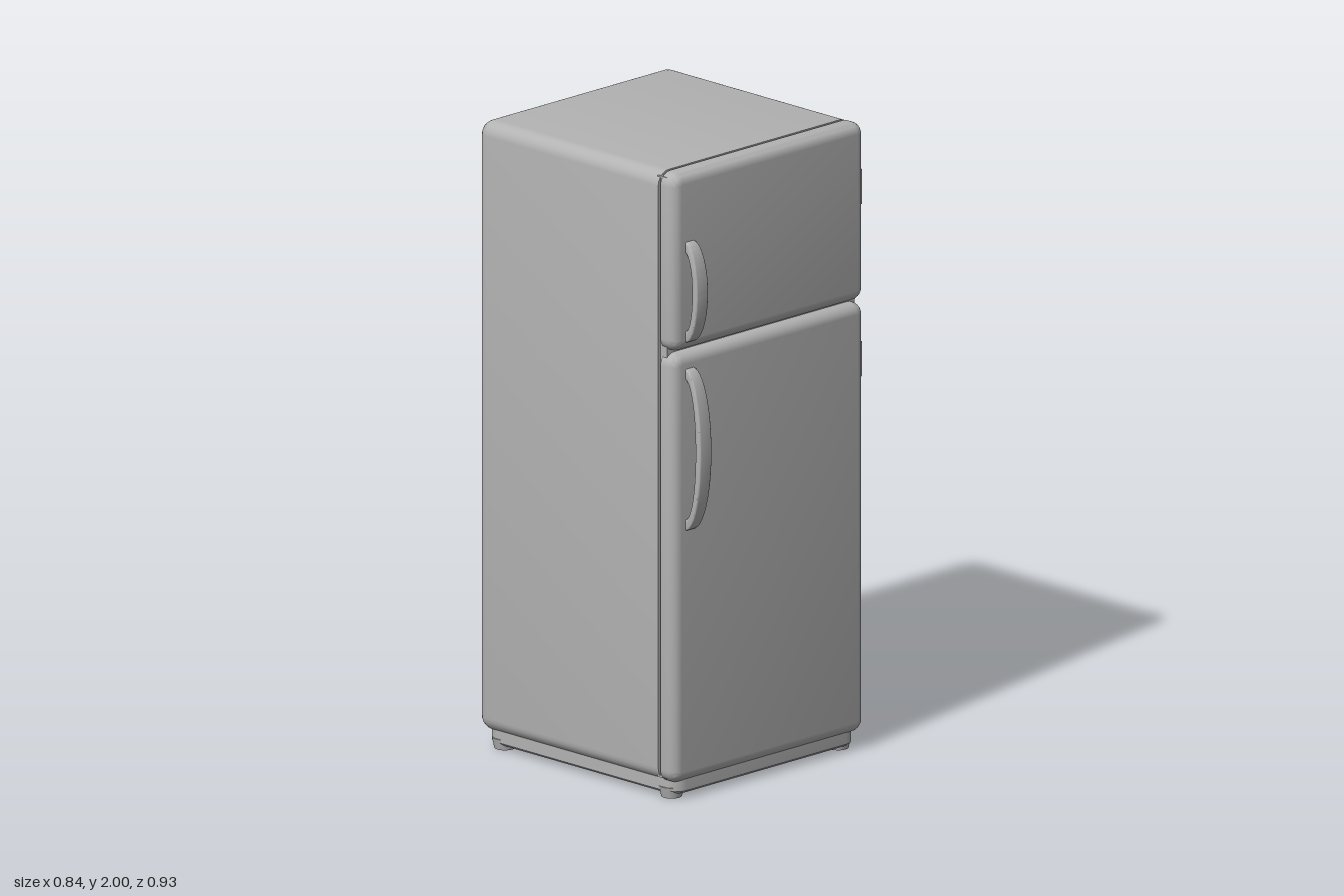
import * as THREE from 'three';
import { toCreasedNormals } from 'three/addons/utils/BufferGeometryUtils.js';

const CX = -0.005; // middle of the cabinet in x
const enamel = new THREE.MeshStandardMaterial({ color: 0xb3b3b3 });
enamel.name = 'greyEnamel';

// Corner points of a rounded rectangle, counter-clockwise
function roundedRect(hw, hh, r, steps = 6) {
  const pts = [];
  for (let c = 0; c < 4; c++) {
    const sx = c === 0 || c === 3 ? 1 : -1, sy = c < 2 ? 1 : -1;
    for (let k = 0; k <= steps; k++) {
      const a = (c + k / steps) * Math.PI / 2;
      pts.push([sx * (hw - r) + r * Math.cos(a), sy * (hh - r) + r * Math.sin(a)]);
    }
  }
  return pts;
}

// Loft rounded rectangles along z; profile = [[z, inset], ...]
function loft(hw, hh, r, profile, capStart, capEnd) {
  const pos = [], idx = [];
  let n = 0;
  for (const [z, inset] of profile) {
    const ring = roundedRect(hw - inset, hh - inset, Math.max(r - inset, 0.004));
    n = ring.length;
    ring.forEach(([x, y]) => pos.push(x, y, z));
  }
  for (let i = 0; i < profile.length - 1; i++) {
    for (let j = 0; j < n; j++) {
      const a = i * n + j, b = i * n + (j + 1) % n;
      idx.push(a, a + n, b, b, a + n, b + n);
    }
  }
  const cap = (row, flip) => {
    const centre = pos.length / 3;
    pos.push(0, 0, profile[row][0]);
    for (let j = 0; j < n; j++) {
      const a = row * n + j, b = row * n + (j + 1) % n;
      idx.push(centre, flip ? b : a, flip ? a : b);
    }
  };
  if (capStart) cap(0, false);
  if (capEnd) cap(profile.length - 1, true);
  const g = new THREE.BufferGeometry();
  g.setAttribute('position', new THREE.Float32BufferAttribute(pos, 3));
  g.setIndex(idx);
  return toCreasedNormals(g, 0.6);
}

// Quarter-round edge: inset shrinks from r to 0 while z drops by r
function roundFront(z, r) {
  return [0, 1, 2, 3, 4, 5, 6].map(k => {
    const a = k / 6 * Math.PI / 2;
    return [z - r + r * Math.cos(a), r - r * Math.sin(a)];
  });
}

export function createModel() {
  const model = new THREE.Group();
  model.name = 'refrigerator';
  const add = (name, geo, x = 0, y = 0, z = 0, parent = model) => {
    const m = new THREE.Mesh(geo, enamel);
    m.name = name;
    m.position.set(x, y, z);
    parent.add(m);
    return m;
  };
  const group = name => {
    const g = new THREE.Group();
    g.name = name;
    model.add(g);
    return g;
  };
  const tube = (pts, r) => new THREE.TubeGeometry(
    new THREE.CatmullRomCurve3(pts.map(p => new THREE.Vector3(...p))), 24, r, 8);

  // Cabinet shell with rounded back edge and recessed back
  const backRound = roundFront(0.455, 0.045).reverse().map(([z, i]) => [-z, i]);
  add('cabinet', loft(0.415, 0.9725, 0.045,
    [[0.332, 0], ...backRound, [-0.455, 0.052], [-0.43, 0.056]], true, false), CX, 1.0275);

  // Back panel with the compressor opening
  const rect = (P, x0, x1, y0, y1) => new P([
    new THREE.Vector2(x0, y0), new THREE.Vector2(x1, y0),
    new THREE.Vector2(x1, y1), new THREE.Vector2(x0, y1)]);
  const panel = rect(THREE.Shape, -0.36, 0.36, 0.11, 1.945);
  panel.holes.push(rect(THREE.Path, -0.3, 0.3, 0.12, 0.37));
  add('backPanel', new THREE.ShapeGeometry(panel).rotateY(Math.PI), CX, 0, -0.43);
  add('compressorNiche', loft(0.3, 0.125, 0.004, [[-0.43, 0], [-0.15, 0]], false, true), CX, 0.245);

  // Doors and the seal behind them
  const door = (name, y0, y1) => add(name, loft(0.415, (y1 - y0) / 2, 0.04,
    [...roundFront(0.4, 0.035), [0.342, 0], [0.338, 0.004]], true, true), CX, (y0 + y1) / 2);
  door('lowerDoor', 0.055, 1.425);
  door('freezerDoor', 1.432, 2.0);
  add('doorSeal', new THREE.BoxGeometry(0.81, 1.92, 0.04), CX, 1.027, 0.34);

  // Bowed door handles
  const handle = (name, y0, y1, depth) => {
    const h = (y1 - y0) / 2, s = new THREE.Shape();
    s.moveTo(0, -h);
    s.absellipse(0, 0, depth, h, -Math.PI / 2, Math.PI / 2, false);
    s.lineTo(0, h - 0.035);
    s.absellipse(0, 0, depth - 0.024, h - 0.035, Math.PI / 2, -Math.PI / 2, true);
    const g = new THREE.ExtrudeGeometry(s, {
      depth: 0.034, curveSegments: 28, bevelEnabled: true,
      bevelSize: 0.005, bevelThickness: 0.006, bevelOffset: -0.005, bevelSegments: 3 });
    g.translate(0, 0, -0.017).rotateY(-Math.PI / 2);
    // flare the grip, narrow the ends
    const p = g.attributes.position;
    for (let i = 0; i < p.count; i++) p.setX(i, p.getX(i) * (0.85 + 0.3 * p.getZ(i) / depth));
    add(name, toCreasedNormals(g, 0.7), -0.35, (y0 + y1) / 2, 0.397);
  };
  handle('freezerHandle', 1.46, 1.78, 0.058);
  handle('lowerHandle', 0.86, 1.375, 0.073);

  // Hinges on the left side
  for (const [name, y] of [['freezerHinge', 1.785], ['lowerHinge', 1.235]]) {
    const hinge = group(name);
    add('hingePlate', new THREE.BoxGeometry(0.012, 0.08, 0.04), 0.41, y, 0.357, hinge);
    for (const [dy, z] of [[0, 0.368], [0.002, 0.346]]) {
      add('hingeKnuckle', new THREE.CylinderGeometry(0.009, 0.009, 0.11, 12), 0.412, y + dy, z, hinge);
    }
  }

  // Base frame, hollow underneath, and feet
  const base = loft(0.395, 0.41, 0.05,
    [[0.07, 0], [0.024, 0], [0.016, 0.008], [0.016, 0.09], [0.052, 0.095]], false, true);
  add('baseFrame', base.rotateX(-Math.PI / 2), CX, 0, -0.025);
  for (const x of [-0.36, 0.36]) for (const z of [-0.385, 0.335]) {
    add('foot', new THREE.CylinderGeometry(0.04, 0.032, 0.035, 20), CX + x, 0.0175, z);
  }

  // Condenser coil: straight runs joined by alternating half-loops
  const coil = group('condenserCoil');
  const rows = 20, y0 = 0.655, pitch = 0.06, half = 0.305, r = 0.013, cz = -0.45;
  for (let i = 0; i < rows; i++) {
    const y = y0 + i * pitch;
    add('coilRun', new THREE.CylinderGeometry(r, r, half * 2, 8, 1, true).rotateZ(Math.PI / 2), 0, y, cz, coil);
    if (i < rows - 1) {
      const side = i % 2 ? -1 : 1;
      const bend = new THREE.TorusGeometry(pitch / 2, r, 8, 12, Math.PI).rotateZ(-side * Math.PI / 2);
      add('coilBend', bend, side * half, y + pitch / 2, cz, coil);
    }
  }
  for (const x of [-0.265, 0.25]) {
    add('coilRail', new THREE.BoxGeometry(0.022, 1.22, 0.02), x, 1.22, -0.44, coil);
    for (const y of [0.63, 1.82]) {
      add('coilBracket', new THREE.BoxGeometry(0.035, 0.035, 0.036), x, y, -0.444, coil);
    }
  }
  for (const s of [-1, 1]) {
    add('coilEndCap', new THREE.SphereGeometry(r, 10, 8), s > 0 ? -half : half, s > 0 ? y0 : y0 + (rows - 1) * pitch, cz, coil);
  }

  // Compressor pot, seam band, mounts and pipes
  const comp = group('compressor');
  const pot = [[0, 0.13], [0.08, 0.132], [0.115, 0.15], [0.13, 0.185], [0.134, 0.225],
    [0.128, 0.262], [0.105, 0.297], [0.065, 0.317], [0, 0.325]].map(p => new THREE.Vector2(...p));
  const curve = new THREE.SplineCurve(pot).getPoints(30);
  curve[0].x = curve[30].x = 0;
  add('compressorPot', new THREE.LatheGeometry(curve, 36), 0, 0, -0.3, comp);
  add('seamBand', new THREE.CylinderGeometry(0.139, 0.139, 0.014, 36), 0, 0.235, -0.3, comp);
  for (const s of [-1, 1]) {
    add('mount', new THREE.BoxGeometry(0.1, 0.014, 0.06), s * 0.16, 0.142, -0.33, comp);
    add('mountPad', new THREE.CylinderGeometry(0.02, 0.02, 0.03, 14), s * 0.19, 0.133, -0.33, comp);
  }
  add('dischargePipe', tube([[0.11, 0.18, -0.34], [0.17, 0.17, -0.37], [0.2, 0.2, -0.39],
    [0.2, 0.29, -0.39], [0.2, 0.375, -0.38]], 0.012), 0, 0, 0, comp);
  add('suctionPipe', tube([[-0.11, 0.18, -0.34], [-0.17, 0.17, -0.38], [-0.21, 0.18, -0.4],
    [-0.22, 0.22, -0.39], [-0.25, 0.235, -0.36], [-0.3, 0.235, -0.35]], 0.012), 0, 0, 0, comp);

  return model;
}
